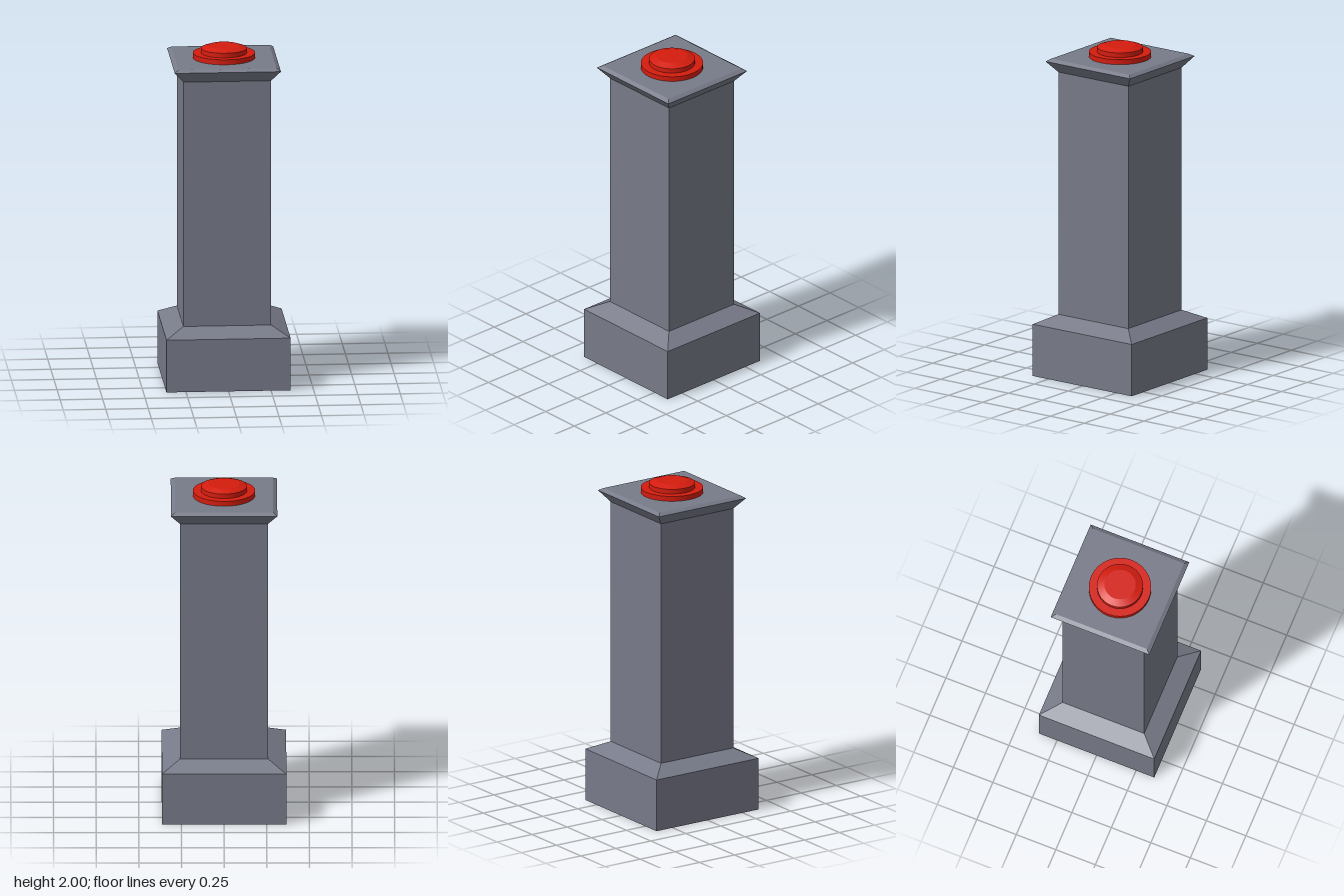
import * as THREE from 'three';
import { toCreasedNormals } from 'three/addons/utils/BufferGeometryUtils.js';

const stone = new THREE.MeshStandardMaterial({ color: 0x777a88, flatShading: true });
const red = new THREE.MeshStandardMaterial({ color: 0xd41c0e });

// Profile points are [half width or radius, height], from bottom to top
const toPoints = (profile) => profile.map(([r, y]) => new THREE.Vector2(r, y));

// Square solid: a four-sided lathe turned so its faces look along x and z
function squareSolid(name, profile) {
  const points = toPoints(profile.map(([half, y]) => [half * Math.SQRT2, y]));
  const mesh = new THREE.Mesh(new THREE.LatheGeometry(points, 4, Math.PI / 4), stone);
  mesh.name = name;
  return mesh;
}

// Round solid with crisp rims
function roundSolid(name, profile) {
  const geometry = new THREE.LatheGeometry(toPoints(profile), 32);
  const mesh = new THREE.Mesh(toCreasedNormals(geometry, Math.PI / 12), red);
  mesh.name = name;
  return mesh;
}

export function createModel() {
  const model = new THREE.Group();
  model.name = 'buttonPedestal';

  // Stone post: plinth with sloped shoulder, shaft, flared cap
  model.add(squareSolid('pedestal', [
    [0, 0], [0.365, 0], [0.365, 0.315], [0.258, 0.37],
    [0.258, 1.845], [0.312, 1.912], [0.288, 1.927], [0, 1.927],
  ]));

  // Collar around the push button
  model.add(roundSolid('buttonCollar', [
    [0, 1.927], [0.183, 1.927], [0.183, 1.957], [0, 1.957],
  ]));

  // Push button with bevelled top edge
  model.add(roundSolid('pushButton', [
    [0, 1.957], [0.135, 1.957], [0.135, 1.985], [0.092, 2], [0, 2],
  ]));

  return model;
}
